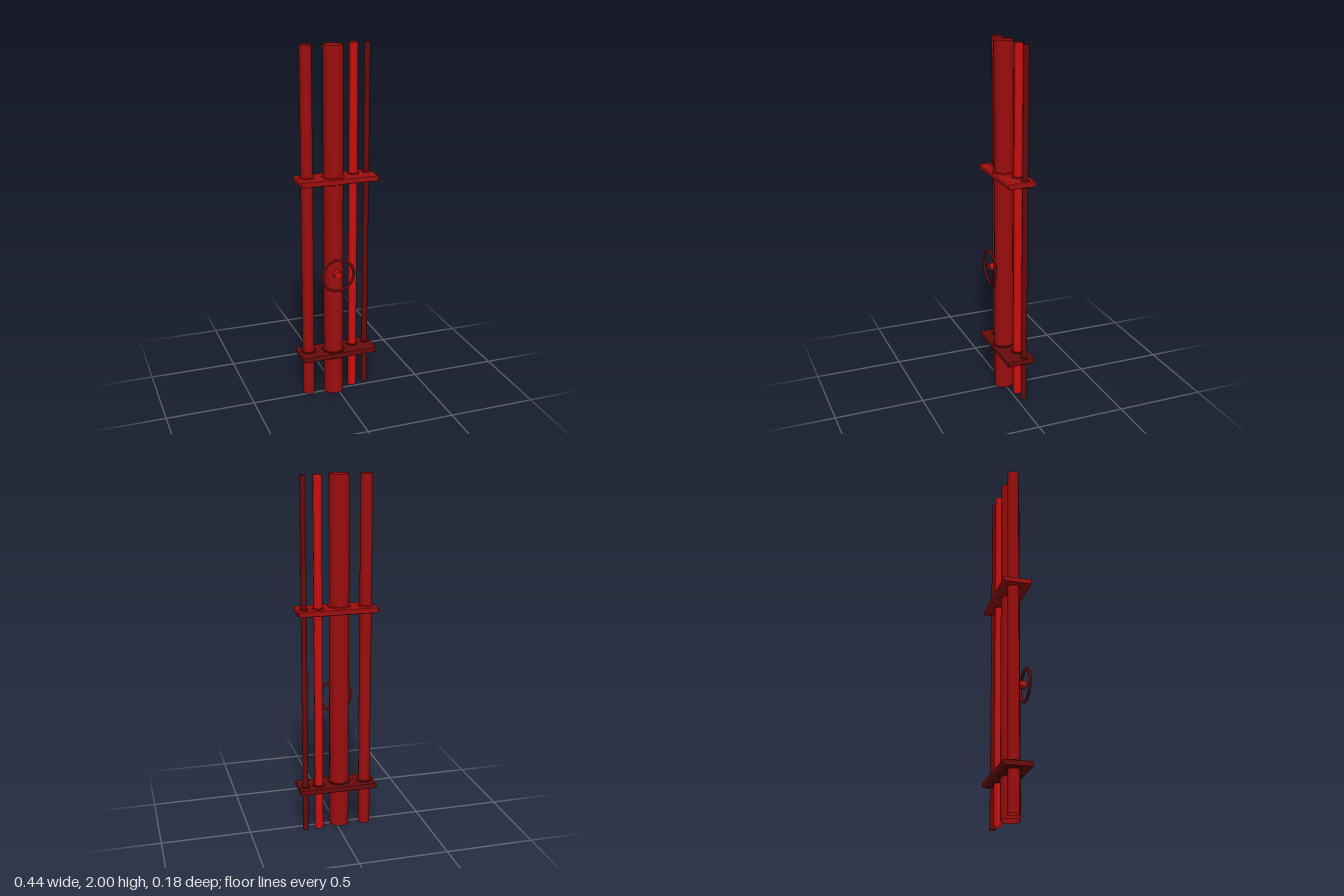
import * as THREE from 'three';
import { RoundedBoxGeometry } from 'three/addons/geometries/RoundedBoxGeometry.js';

const material = (name, color, side = THREE.FrontSide) =>
  new THREE.MeshStandardMaterial({ name, color, side });

export function createModel() {
  const group = new THREE.Group();
  group.name = 'pipeRack';
  const bright = material('bright red', 0xcd0f0f, THREE.DoubleSide);
  const medium = material('medium red', 0x9e0e0e, THREE.DoubleSide);
  const dark = material('dark red', 0x690b0b, THREE.DoubleSide);

  const add = (name, geometry, mat, x, y, z, parent = group) => {
    const mesh = new THREE.Mesh(geometry, mat);
    mesh.name = name;
    mesh.position.set(x, y, z);
    parent.add(mesh);
    return mesh;
  };

  // Open-ended vertical pipes, thickest to thinnest
  const pipes = [
    { name: 'mainPipe', x: -0.021, z: -0.002, r: 0.055, mat: medium, collar: bright },
    { name: 'sidePipe', x: -0.164, z: -0.025, r: 0.033, mat: medium, collar: bright },
    { name: 'thinPipe', x: 0.105, z: -0.034, r: 0.024, mat: bright, collar: medium },
    { name: 'conduit', x: 0.185, z: -0.042, r: 0.016, mat: dark, collar: medium },
  ];
  for (const p of pipes) {
    add(p.name, new THREE.CylinderGeometry(p.r, p.r, 2, 10, 1, true), p.mat, p.x, 1, p.z);
  }

  // Two brackets, each with a collar around every pipe
  const brackets = [
    { name: 'lowerBracket', y: 0.245, mat: dark },
    { name: 'upperBracket', y: 1.275, mat: medium },
  ];
  for (const b of brackets) {
    const bracket = new THREE.Group();
    bracket.name = b.name;
    group.add(bracket);
    add('plate', new RoundedBoxGeometry(0.44, 0.03, 0.158, 1, 0.005), b.mat, 0, b.y, -0.014, bracket);
    for (const p of pipes) {
      const r = p.r + 0.01;
      add(p.name + 'Collar', new THREE.CylinderGeometry(r, r, 0.042, 10),
        b.mat === dark ? dark : p.collar, p.x, b.y, p.z, bracket);
    }
  }

  // Valve handwheel: stem and ring facing forward
  const valve = new THREE.Group();
  valve.name = 'valve';
  valve.position.set(-0.021, 0.747, 0);
  group.add(valve);
  const stem = add('stem', new THREE.CylinderGeometry(0.022, 0.022, 0.04, 8), bright, 0, 0, 0.064, valve);
  stem.rotation.x = Math.PI / 2;
  add('handwheel', new THREE.TorusGeometry(0.092, 0.008, 6, 14), dark, 0, 0, 0.082, valve);

  return group;
}
